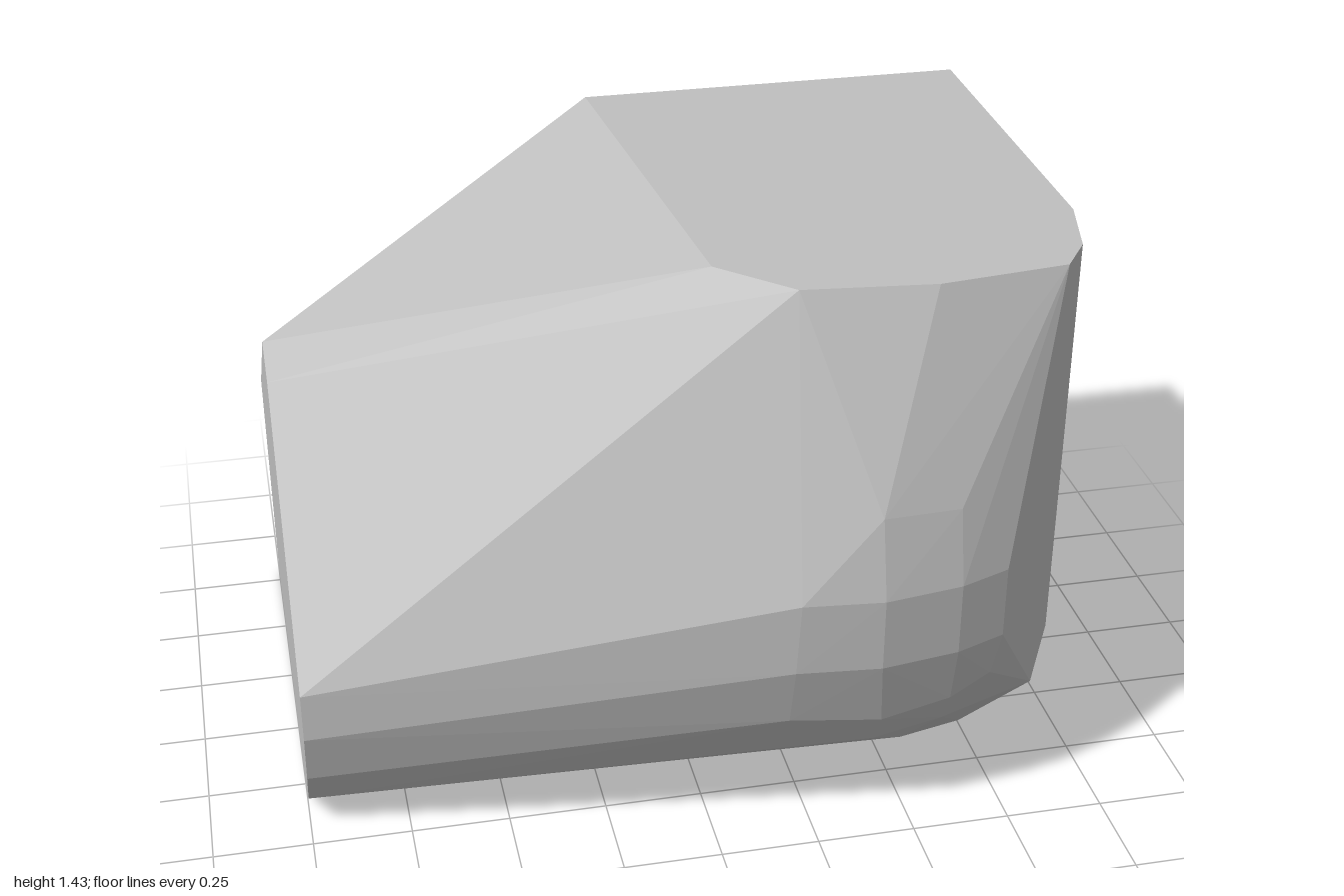
import * as THREE from 'three';
import { ConvexGeometry } from 'three/addons/geometries/ConvexGeometry.js';

// Outlines as [x, y, z] corners; the body is the convex skin around them.
const topRim = [
  [-0.05, 1.43, -0.79], [1, 1.43, -0.79], [1, 1.43, 0.2], [0.95, 1.43, 0.4],
  [0.88, 1.43, 0.5], [0.55, 1.43, 0.54], [0.22, 1.43, 0.505], [0.05, 1.43, 0.34],
];

// End face at x = -1, as [y, z] going from the back over the top to the floor
const endProfile = [
  [0, -0.79], [0.65, -0.79], [1.17, 0], [1.13, 0.14], [0.47, 0.525],
  [0.34, 0.525], [0.19, 0.48], [0.09, 0.43], [0.025, 0.33], [0.015, 0.2],
];

// Bulging nose, in bands from high to low
const nose = [
  [0.38, 0.93, 0.74], [0.58, 0.92, 0.715],
  [0.18, 0.73, 0.77], [0.38, 0.73, 0.79], [0.58, 0.73, 0.76], [0.71, 0.73, 0.71],
  [0.17, 0.54, 0.77], [0.38, 0.54, 0.79], [0.58, 0.54, 0.76], [0.71, 0.54, 0.71],
  [0.17, 0.37, 0.725], [0.4, 0.35, 0.74], [0.58, 0.38, 0.725], [0.69, 0.42, 0.695],
  [0.4, 0.25, 0.68], [0.58, 0.28, 0.67], [0.88, 0.23, 0.5],
];

// Rounded lower right edge, as [x, y at the back, y at the front]
const lowerEdge = [[1, 0.33, 0.335], [0.93, 0.12, 0.14], [0.82, 0.03, 0.045], [0.58, 0, 0.015]];

// Corner where the lower edge meets the nose
const lowerCorner = [
  [0.95, 0.33, 0.4], [0.91, 0.2, 0.4], [0.72, 0.07, 0.42], [0.5, 0.03, 0.33], [0.5, 0.18, 0.6],
];

export function createModel() {
  const group = new THREE.Group();
  const grey = new THREE.MeshStandardMaterial({ color: 0xc0c0c0 });
  grey.name = 'plain grey';

  const corners = [
    ...topRim,
    ...endProfile.map(([y, z]) => [-1, y, z]),
    ...nose,
    ...lowerEdge.flatMap(([x, back, front]) => [[x, back, -0.79], [x, front, 0.2]]),
    ...lowerCorner,
  ].map((p) => new THREE.Vector3(...p));

  const body = new THREE.Mesh(new ConvexGeometry(corners), grey);
  body.name = 'body';
  group.add(body);
  return group;
}
